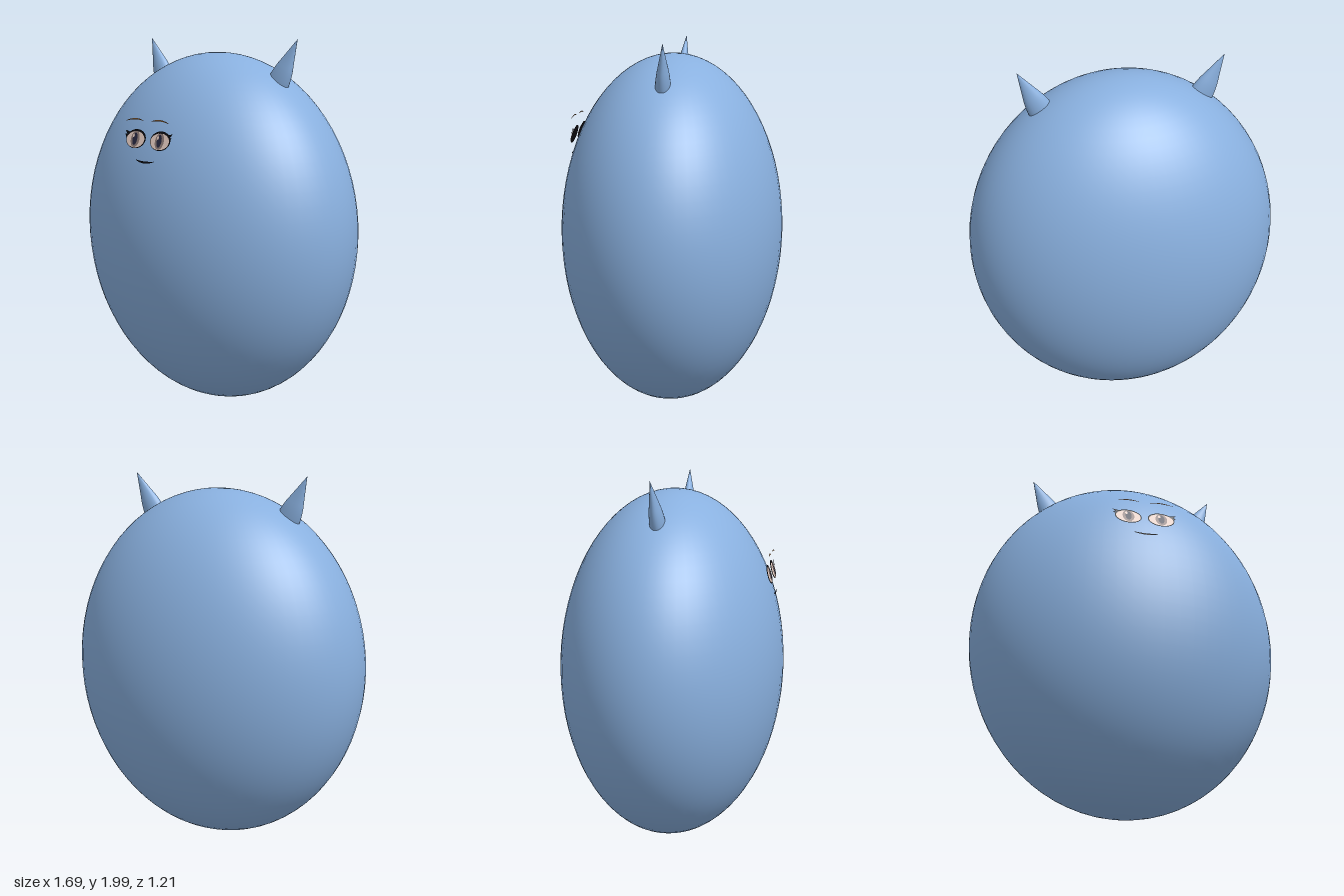
import * as THREE from 'three';

const mat = (name, color, side = THREE.FrontSide) => {
  const m = new THREE.MeshStandardMaterial({ color, side });
  m.name = name;
  return m;
};

export function createModel() {
  const root = new THREE.Group();
  root.name = 'hornedEggCreature';
  const skin = mat('skin blue', 0x89b0df);
  const black = mat('line black', 0x0c0c12, THREE.DoubleSide);
  const white = mat('eye cream', 0xe8cfc4, THREE.DoubleSide);
  const irisMat = mat('iris taupe', 0x8d7a76, THREE.DoubleSide);
  const pupilMat = mat('pupil navy', 0x26263f, THREE.DoubleSide);
  const browMat = mat('brow brown', 0x9a6a3c, THREE.DoubleSide);

  const add = (name, geometry, material, parent = root) => {
    const mesh = new THREE.Mesh(geometry, material);
    mesh.name = name;
    parent.add(mesh);
    return mesh;
  };

  // Egg-shaped body
  const body = add('body', new THREE.SphereGeometry(1, 64, 40), skin);
  body.scale.set(0.845, 0.961, 0.605);
  body.position.y = 0.966;

  // Tapered horns, flattened front to back and leaning outwards
  const profile = new THREE.SplineCurve([
    [0.066, -0.06], [0.065, 0], [0.055, 0.06], [0.035, 0.125], [0.0001, 0.237],
  ].map(([r, y]) => new THREE.Vector2(r, y))).getPoints(16);
  const hornGeo = new THREE.LatheGeometry(profile, 24).scale(1, 1, 0.6);
  for (const side of [1, -1]) {
    const horn = add(side > 0 ? 'leftHorn' : 'rightHorn', hornGeo, skin);
    horn.position.set(side * 0.427, 1.788, 0);
    horn.rotation.set(-0.06, 0, -side * 0.47);
  }

  // Flat face pieces lean back along the brow of the body
  const face = new THREE.Group();
  face.name = 'face';
  root.add(face);
  const plate = (name, shape, material, lift = 0) => {
    const geo = new THREE.ShapeGeometry(shape, 24);
    const p = geo.attributes.position;
    for (let i = 0; i < p.count; i++) {
      p.setZ(i, 0.531 - 0.3 * (p.getY(i) - 1.49) + lift);
    }
    geo.computeVertexNormals();
    return add(name, geo, material, face);
  };
  const oval = (x, y, rx, ry) => new THREE.Shape().absellipse(x, y, rx, ry, 0, Math.PI * 2);

  // Curved stroke, thickest in the middle
  const stroke = (a, mid, b, width) => {
    const shape = new THREE.Shape();
    shape.moveTo(a[0], a[1]);
    shape.quadraticCurveTo(mid[0], mid[1] + width, b[0], b[1]);
    shape.lineTo(b[0], b[1] - width * 0.3);
    shape.quadraticCurveTo(mid[0], mid[1] - width, a[0], a[1] - width * 0.3);
    shape.closePath();
    return shape;
  };
  const wedge = (a, b, c) => new THREE.Shape([a, b, c].map(([x, y]) => new THREE.Vector2(x, y)));

  for (const s of [1, -1]) {
    const side = s > 0 ? 'left' : 'right';
    const x = s * 0.09;
    plate(side + 'EyeOutline', oval(x, 1.492, 0.073, 0.048), black);
    plate(side + 'EyeWhite', oval(x, 1.489, 0.067, 0.041), white, 0.003);
    plate(side + 'Iris', oval(x, 1.491, 0.032, 0.041), irisMat, 0.005);
    plate(side + 'Pupil', oval(x, 1.492, 0.017, 0.031), pupilMat, 0.007);
    plate(side + 'Glint', oval(x - 0.011, 1.508, 0.007, 0.009), white, 0.009);
    // Lashes at the outer corner
    plate(side + 'UpperLash', wedge([s * 0.138, 1.525], [s * 0.175, 1.532], [s * 0.152, 1.508]), black, 0.004);
    plate(side + 'LowerLash', wedge([s * 0.15, 1.513], [s * 0.172, 1.512], [s * 0.159, 1.495]), black, 0.004);
    // Eyebrow
    const brow = stroke([s * 0.03, 1.589], [s * 0.09, 1.604], [s * 0.156, 1.584], 0.006);
    plate(side + 'Brow', brow, browMat, 0.03);
  }

  // Mouth
  plate('mouth', stroke([-0.066, 1.388], [0, 1.37], [0.066, 1.388], 0.009), black, -0.008);

  return root;
}
